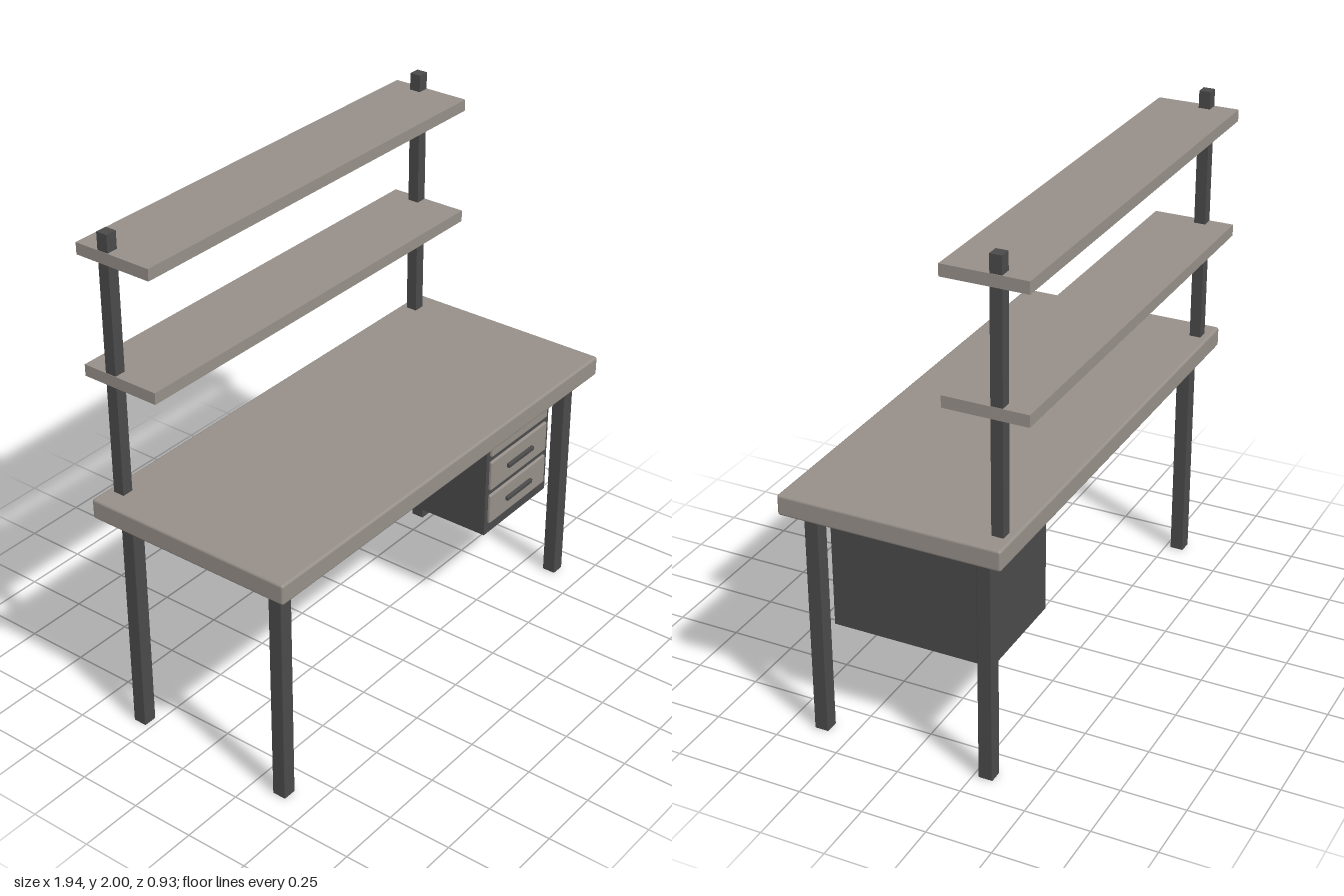
import * as THREE from 'three';
import { RoundedBoxGeometry } from 'three/addons/geometries/RoundedBoxGeometry.js';

export function createModel() {
  const model = new THREE.Group();
  model.name = 'workDesk';

  const wood = new THREE.MeshStandardMaterial({ color: 0x968f89 });
  wood.name = 'greyWood';
  const metal = new THREE.MeshStandardMaterial({ color: 0x4a4a4a });
  metal.name = 'darkMetal';

  // Box given by its extents on each axis, with optional softened edges
  function block(name, material, [x0, x1], [y0, y1], [z0, z1], radius = 0, parent = model) {
    const size = [x1 - x0, y1 - y0, z1 - z0];
    const geometry = radius
      ? new RoundedBoxGeometry(...size, 2, radius)
      : new THREE.BoxGeometry(...size);
    const mesh = new THREE.Mesh(geometry, material);
    mesh.position.set((x0 + x1) / 2, (y0 + y1) / 2, (z0 + z1) / 2);
    mesh.name = name;
    parent.add(mesh);
    return mesh;
  }

  // Worktop
  block('tabletop', wood, [-0.968, 0.968], [0.91, 0.99], [-0.397, 0.461], 0.01);

  // Legs and the uprights that carry the shelves
  for (const side of [-1, 1]) {
    const label = side > 0 ? 'left' : 'right';
    const span = (a, b) => (side > 0 ? [a, b] : [-b, -a]);
    block(label + 'FrontLeg', metal, span(0.846, 0.902), [0, 0.912], [0.341, 0.397], 0.004);
    block(label + 'BackLeg', metal, span(0.846, 0.902), [0, 0.912], [-0.327, -0.271], 0.004);
    block(label + 'ShelfPost', metal, span(0.841, 0.886), [0.98, 2], [-0.367, -0.322]);
  }

  // Shelves
  block('lowerShelf', wood, [-0.888, 0.888], [1.425, 1.47], [-0.464, -0.143]);
  block('upperShelf', wood, [-0.888, 0.888], [1.888, 1.933], [-0.464, -0.143]);

  // Drawer cabinet under the left end
  const cabinet = new THREE.Group();
  cabinet.name = 'drawerCabinet';
  model.add(cabinet);
  block('cabinetBody', metal, [0.39, 0.815], [0.413, 0.912], [-0.285, 0.345], 0, cabinet);
  for (let i = 0; i < 3; i++) {
    const y = 0.825 - i * 0.151;
    block('drawerFront' + (i + 1), wood, [0.411, 0.793], [y - 0.064, y + 0.064], [0.325, 0.356], 0.006, cabinet);
    block('drawerHandle' + (i + 1), metal, [0.517, 0.688], [y - 0.009, y + 0.009], [0.35, 0.368], 0.003, cabinet);
  }

  return model;
}
